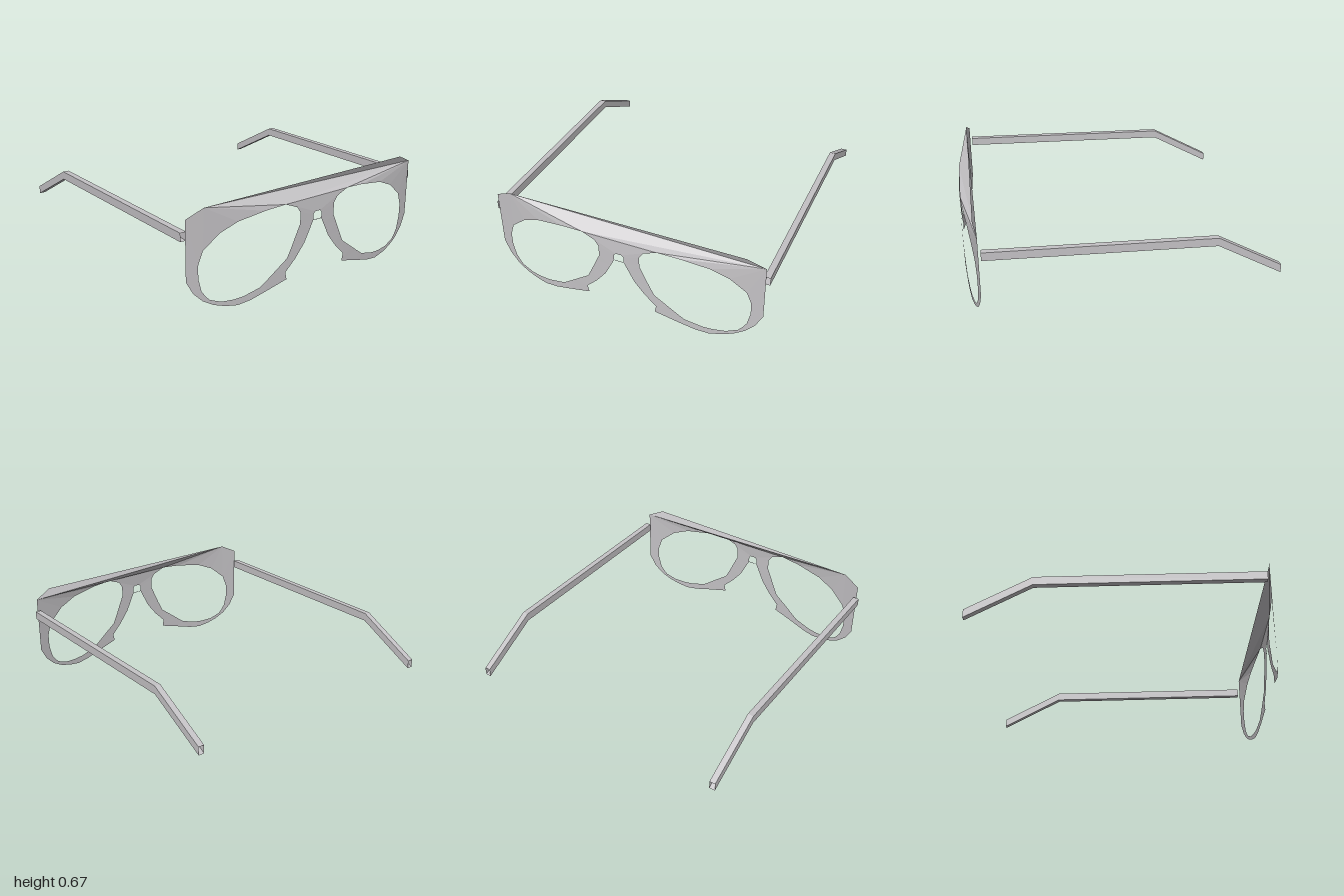
import * as THREE from 'three';

const frameGrey = new THREE.MeshStandardMaterial({ color: 0xc4c2c5, side: THREE.DoubleSide });
frameGrey.name = 'frame grey';

// Faceted sheet spanned between two rails; each row is [pointOnRailA, pointOnRailB]
function strip(name, rows, flip = false) {
  const pos = [];
  const tri = (a, b, c) => {
    const area = new THREE.Vector3().crossVectors(b.clone().sub(a), c.clone().sub(a)).length();
    if (area > 1e-9) pos.push(...a.toArray(), ...(flip ? [...c.toArray(), ...b.toArray()] : [...b.toArray(), ...c.toArray()]));
  };
  for (let i = 0; i + 1 < rows.length; i++) {
    const [a, b] = rows[i], [c, d] = rows[i + 1];
    tri(a, c, b);
    tri(b, c, d);
  }
  const g = new THREE.BufferGeometry();
  g.setAttribute('position', new THREE.Float32BufferAttribute(pos, 3));
  g.computeVertexNormals();
  const mesh = new THREE.Mesh(g, frameGrey);
  mesh.name = name;
  return mesh;
}

// Point on the bowed front of the frame
const bent = (x, y) => new THREE.Vector3(x, y, 1 - 0.1 * (x / 0.925) ** 2);

// Outer edge x, y and lens opening x, y, from the bridge down and around
const RIM = [
  [0.02, 0.49, 0.255, 0.586],
  [0.02, 0.49, 0.17, 0.555],
  [0.033, 0.475, 0.14, 0.51],
  [0.033, 0.435, 0.14, 0.434],
  [0.058, 0.385, 0.165, 0.38],
  [0.10, 0.30, 0.20, 0.30],
  [0.17, 0.21, 0.235, 0.227],
  [0.245, 0.135, 0.33, 0.157],
  [0.235, 0.085, 0.38, 0.119],
  [0.40, 0.04, 0.433, 0.08],
  [0.50, 0.012, 0.55, 0.05],
  [0.59, 0.0, 0.62, 0.045],
  [0.675, 0.015, 0.70, 0.05],
  [0.75, 0.04, 0.777, 0.08],
  [0.82, 0.08, 0.80, 0.105],
  [0.88, 0.14, 0.828, 0.146],
  [0.925, 0.225, 0.848, 0.232],
  [0.925, 0.225, 0.848, 0.318],
  [0.925, 0.615, 0.818, 0.404],
];
// Top of the lens opening, fanned to one corner of the brow
const LENS_TOP = [[0.818, 0.404], [0.71, 0.495], [0.59, 0.545], [0.40, 0.576], [0.255, 0.586]];

function rim(side, apex) {
  const rows = RIM.map(([ox, oy, ix, iy]) => [bent(side * ox, oy), bent(side * ix, iy)]);
  for (const [x, y] of LENS_TOP) rows.push([bent(side * apex[0], apex[1]), bent(side * x, y)]);
  return strip(side > 0 ? 'leftRim' : 'rightRim', rows, side < 0);
}

// Open square tube: straight run, then a drop behind the ear
function arm(side) {
  const path = [[0.885, 0.535], [-0.58, 0.507], [-1, 0.28]];
  const corners = [[0.908, 0], [0.948, 0], [0.948, -0.055], [0.908, -0.055]];
  const group = new THREE.Group();
  group.name = side > 0 ? 'leftArm' : 'rightArm';
  corners.forEach((c, i) => {
    const n = corners[(i + 1) % 4];
    const rows = path.map(([z, y]) => [c, n].map(([x, dy]) => new THREE.Vector3(side * x, y + dy, z)));
    group.add(strip('armWall', rows, side > 0));
  });
  return group;
}

export function createModel() {
  const model = new THREE.Group();
  model.name = 'glasses';

  // Rims
  model.add(rim(1, [0.925, 0.615]), rim(-1, [0.81, 0.67]));

  // Flat facets of the brow
  const corner = bent(0.925, 0.615), topL = bent(0.81, 0.67), topR = bent(-0.81, 0.67);
  const lensL = bent(0.255, 0.586), lensR = bent(-0.255, 0.586);
  model.add(strip('brow', [[topL, topR], [corner, lensR], [lensL, lensR]], true));

  // Bridge and the thin bar closing its small opening
  model.add(strip('bridge', [[lensR, bent(-0.02, 0.49)], [lensL, bent(0.02, 0.49)]], true));
  model.add(strip('bridgeBar', [[bent(-0.033, 0.437), bent(-0.033, 0.433)], [bent(0.033, 0.437), bent(0.033, 0.433)]], true));

  // Arms
  model.add(arm(1), arm(-1));
  return model;
}
